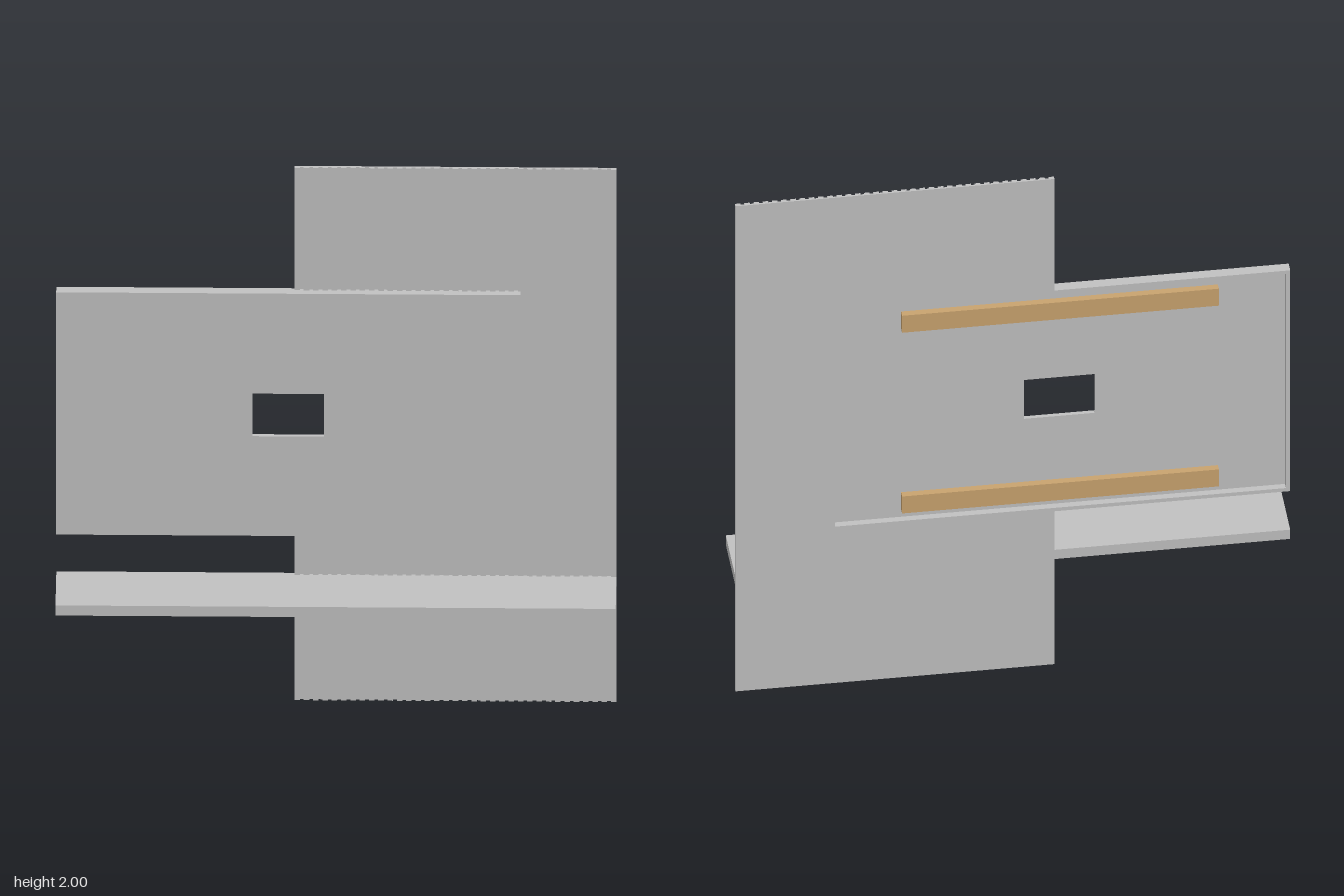
import * as THREE from 'three';

// Overall layout
const BACK = -0.114;
const TV = { x0: -0.92, x1: 0.6, y0: 0.63, y1: 1.54, front: -0.077 };
const SLAT = { x0: -0.14, x1: 0.915, front: -0.101, base: -0.108, count: 35 };

export function createModel() {
  const group = new THREE.Group();
  const grey = new THREE.MeshStandardMaterial({ name: 'greyBoard', color: 0xc0c0c0 });
  const wood = new THREE.MeshStandardMaterial({ name: 'lightWood', color: 0xc8a26e });

  const add = (name, geometry, material, parent = group) => {
    const mesh = new THREE.Mesh(geometry, material);
    mesh.name = name;
    parent.add(mesh);
    return mesh;
  };
  const box = (name, x0, x1, y0, y1, z0, z1, material, parent) =>
    add(name, new THREE.BoxGeometry(x1 - x0, y1 - y0, z1 - z0)
      .translate((x0 + x1) / 2, (y0 + y1) / 2, (z0 + z1) / 2), material, parent);
  const polygon = (pts) => new THREE.Shape(pts.map(([x, y]) => new THREE.Vector2(x, y)));
  const rect = (x0, x1, y0, y1) => polygon([[x0, y0], [x1, y0], [x1, y1], [x0, y1]]);
  const extrude = (shape, depth) => new THREE.ExtrudeGeometry(shape, { depth, bevelEnabled: false });

  // Slatted wall panel: backing sheet notched around the screen panel
  const slatPanel = new THREE.Group();
  slatPanel.name = 'slatPanel';
  group.add(slatPanel);
  const backing = polygon([
    [SLAT.x0, 0], [SLAT.x1, 0], [SLAT.x1, 2], [SLAT.x0, 2],
    [SLAT.x0, TV.y1], [TV.x1, TV.y1], [TV.x1, TV.y0], [SLAT.x0, TV.y0],
  ]);
  add('slatBacking', extrude(backing, SLAT.base - BACK).translate(0, 0, BACK), grey, slatPanel);

  // Vertical slats, interrupted where the screen panel sits
  const pitch = (SLAT.x1 - SLAT.x0) / (SLAT.count - 0.4);
  for (let i = 0; i < SLAT.count; i++) {
    const x = SLAT.x0 + i * pitch;
    const w = pitch * 0.6;
    const runs = x + w / 2 < TV.x1 ? [[0, TV.y0], [TV.y1, 2]] : [[0, 2]];
    for (const [y0, y1] of runs) box('slat', x, x + w, y0, y1, SLAT.base, SLAT.front, grey, slatPanel);
  }

  // Screen panel: front board with a cable opening, and a rim around its back
  const tvPanel = new THREE.Group();
  tvPanel.name = 'screenPanel';
  group.add(tvPanel);
  const boardBack = TV.front - 0.014;
  const board = rect(TV.x0, TV.x1, TV.y0, TV.y1);
  board.holes.push(rect(-0.277, -0.043, 1.004, 1.164));
  add('screenBoard', extrude(board, 0.014).translate(0, 0, boardBack), grey, tvPanel);
  const rim = rect(TV.x0, TV.x1, TV.y0, TV.y1);
  const t = 0.014;
  rim.holes.push(rect(TV.x0 + t, TV.x1 - t, TV.y0 + t, TV.y1 - t));
  add('screenRim', extrude(rim, boardBack - BACK).translate(0, 0, BACK), grey, tvPanel);

  // Hanging cleats: two interlocking bevelled battens at each height
  const f = -boardBack, b = -BACK + 0.0005;
  for (const y of [0.71, 1.455]) {
    const halves = {
      cleatLower: [[f, y - 0.035], [b, y - 0.035], [b, y + 0.01], [f, y - 0.01]],
      cleatUpper: [[f, y - 0.01], [b, y + 0.01], [b, y + 0.035], [f, y + 0.035]],
    };
    for (const [name, pts] of Object.entries(halves)) {
      add(name, extrude(polygon(pts), 1.048).rotateY(Math.PI / 2).translate(-0.684, 0, 0), wood, tvPanel);
    }
  }

  // Long shelf, stepped forward where it meets the slats
  const shelf = polygon([
    [-0.92, -0.114], [0.915, -0.114], [0.915, 0.107],
    [SLAT.x0, 0.107], [SLAT.x0, 0.114], [-0.92, 0.114],
  ]);
  add('shelf', extrude(shelf, 0.038).rotateX(-Math.PI / 2).translate(0, 0.433, 0), grey);

  return group;
}
